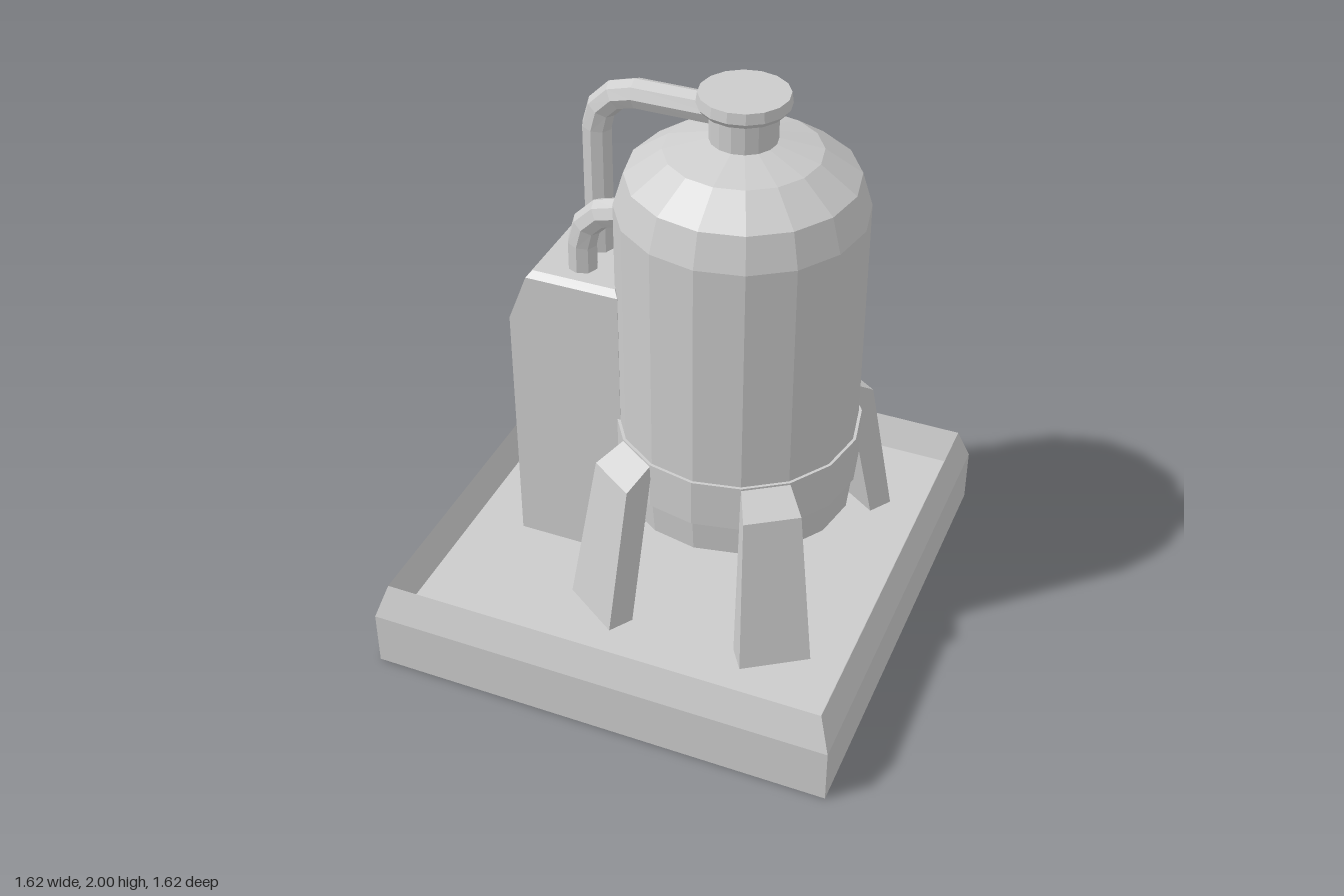
import * as THREE from 'three';
import { ConvexGeometry } from 'three/addons/geometries/ConvexGeometry.js';

const material = new THREE.MeshStandardMaterial({ color: 0xcccccc, flatShading: true });
const TANK_X = 0.185, FLOOR = 0.2;
const v3 = (x, y, z) => new THREE.Vector3(x, y, z);

function part(name, geometry, parent) {
  const mesh = new THREE.Mesh(geometry, material);
  mesh.name = name;
  parent.add(mesh);
  return mesh;
}

const lathe = (profile, sides, start = 0) =>
  new THREE.LatheGeometry(profile.map(([r, y]) => new THREE.Vector2(r, y)), sides, start);

// Extrudes a (backward, up) profile across x from x0 to x1
function sidePrism(profile, x0, x1) {
  const shape = new THREE.Shape(profile.map(([u, y]) => new THREE.Vector2(u, y)));
  return new THREE.ExtrudeGeometry(shape, { depth: x1 - x0, bevelEnabled: false })
    .rotateY(Math.PI / 2).translate(x0, 0, 0);
}

// Path that puts one tube ring on each listed point
class Polyline extends THREE.Curve {
  constructor(points) { super(); this.points = points; }
  getPointAt(t, target = v3()) {
    const n = this.points.length - 1, i = Math.min(Math.floor(t * n + 1e-6), n - 1);
    return target.lerpVectors(this.points[i], this.points[i + 1], t * n - i);
  }
  getPoint(t, target) { return this.getPointAt(t, target); }
  getTangentAt(t, target = v3()) {
    const n = this.points.length - 1, i = Math.round(t * n), p = this.points;
    const before = p[Math.max(i, 1)].clone().sub(p[Math.max(i, 1) - 1]).normalize();
    const j = Math.min(i, n - 1);
    return target.copy(p[j + 1]).sub(p[j]).normalize().add(before).normalize();
  }
}

// Pipe from a to b with one rounded corner
function elbowPipe(name, a, corner, b, parent, bend = 0.14) {
  const inDir = a.clone().sub(corner).normalize(), outDir = b.clone().sub(corner).normalize();
  const points = [a];
  for (let i = 0; i <= 3; i++) {
    const t = i / 3 * Math.PI / 2;
    points.push(corner.clone()
      .addScaledVector(inDir, bend * (1 - Math.sin(t)))
      .addScaledVector(outDir, bend * (1 - Math.cos(t))));
  }
  points.push(b);
  part(name, new THREE.TubeGeometry(new Polyline(points), points.length - 1, 0.05, 8), parent);
}

export function createModel() {
  const model = new THREE.Group();
  model.name = 'storageTank';

  // Square tray with a sloped rim
  const s = Math.SQRT2;
  part('baseTray', lathe([[0, 0], [0.81 * s, 0], [0.81 * s, 0.2], [0.77 * s, 0.32],
    [0.735 * s, FLOOR], [0, FLOOR]], 4, Math.PI / 4), model);

  // Domed tank with band, neck and cap
  const tank = new THREE.Group();
  tank.name = 'tank';
  tank.position.x = TANK_X;
  model.add(tank);
  part('tankBody', lathe([[0, 0.51], [0.395, 0.51], [0.405, 0.63], [0.405, 1.605], [0.37, 1.72],
    [0.25, 1.805], [0.1, 1.845], [0, 1.845]], 16), tank);
  part('tankBand', lathe([[0.39, 0.63], [0.415, 0.63], [0.415, 0.8], [0.39, 0.8]], 16), tank);
  part('neck', lathe([[0.108, 1.82], [0.108, 1.96]], 16), tank);
  part('cap', lathe([[0, 1.948], [0.135, 1.948], [0.148, 1.965], [0.143, 2], [0, 2]], 16), tank);

  // Four splayed legs; each section is [radius, height, width]
  const sections = [[0.395, 0.8, 0.158], [0.505, 0.735, 0.19], [0.602, FLOOR, 0.24], [0.51, FLOOR, 0.24]];
  const legGeometry = new ConvexGeometry(sections.flatMap(([r, y, w]) =>
    [v3(-w / 2, y, r), v3(w / 2, y, r)]));
  const splay = Math.PI * 3 / 16;
  for (const angle of [splay, -splay, Math.PI - splay, Math.PI + splay])
    part('leg', legGeometry, tank).rotation.y = angle;

  // Control tower with slanted shoulder and chamfered top
  const towerSide = [[-0.555, FLOOR], [-0.16, FLOOR], [-0.16, 1.285], [-0.487, 1.285], [-0.555, 1.11]];
  const towerPoints = [];
  for (const side of [-1, 1]) {
    for (const [x, y] of towerSide) towerPoints.push(v3(x, y, side * 0.2));
    towerPoints.push(v3(-0.47, 1.305, side * 0.178), v3(-0.178, 1.305, side * 0.178));
  }
  part('tower', new ConvexGeometry(towerPoints), model);
  part('towerPanel', new THREE.BoxGeometry(0.01, 0.24, 0.34), model).position.set(-0.554, 0.47, 0);

  // Vent box with a recessed, louvred slope
  const vent = new THREE.Group();
  vent.name = 'ventBox';
  model.add(vent);
  const x0 = 0.017, x1 = 0.35, frame = 0.02;
  const slope = (t, depth = 0) => [0.515 + 0.205 * t - 0.877 * depth, 1.005 - 0.38 * t - 0.48 * depth];
  const outline = (notch) => [[0.44, FLOOR], [0.72, FLOOR], slope(1), ...notch, slope(0), [0.44, 1.005]];
  const recess = [slope(0.93), slope(0.93, 0.05), slope(0.05, 0.05), slope(0.05)];
  part('ventCore', sidePrism(outline(recess), x0 + frame, x1 - frame), vent);
  part('ventSide', sidePrism(outline([]), x0, x0 + frame), vent);
  part('ventSide', sidePrism(outline([]), x1 - frame, x1), vent);
  for (let i = 0; i < 5; i++) {
    const t = 0.06 + 0.17 * i;
    const [au, ay] = slope(t, 0.045), [bu, by] = slope(t + 0.15, 0.006);
    part('louvre', sidePrism([[au, ay], [bu, by], [bu, by - 0.012], [au, ay - 0.012]],
      x0 + frame, x1 - frame), vent);
  }

  // Connecting pipes
  elbowPipe('upperPipe', v3(-0.33, 1.28, -0.045), v3(-0.33, 1.897, -0.045), v3(0.14, 1.897, -0.045), model);
  elbowPipe('lowerPipe', v3(-0.33, 1.28, 0.09), v3(-0.33, 1.54, 0.09), v3(-0.12, 1.54, 0.09), model);
  elbowPipe('floorPipe', v3(-0.33, 0.372, -0.18), v3(-0.33, 0.372, -0.652), v3(0.04, 0.372, -0.652), model);

  return model;
}
